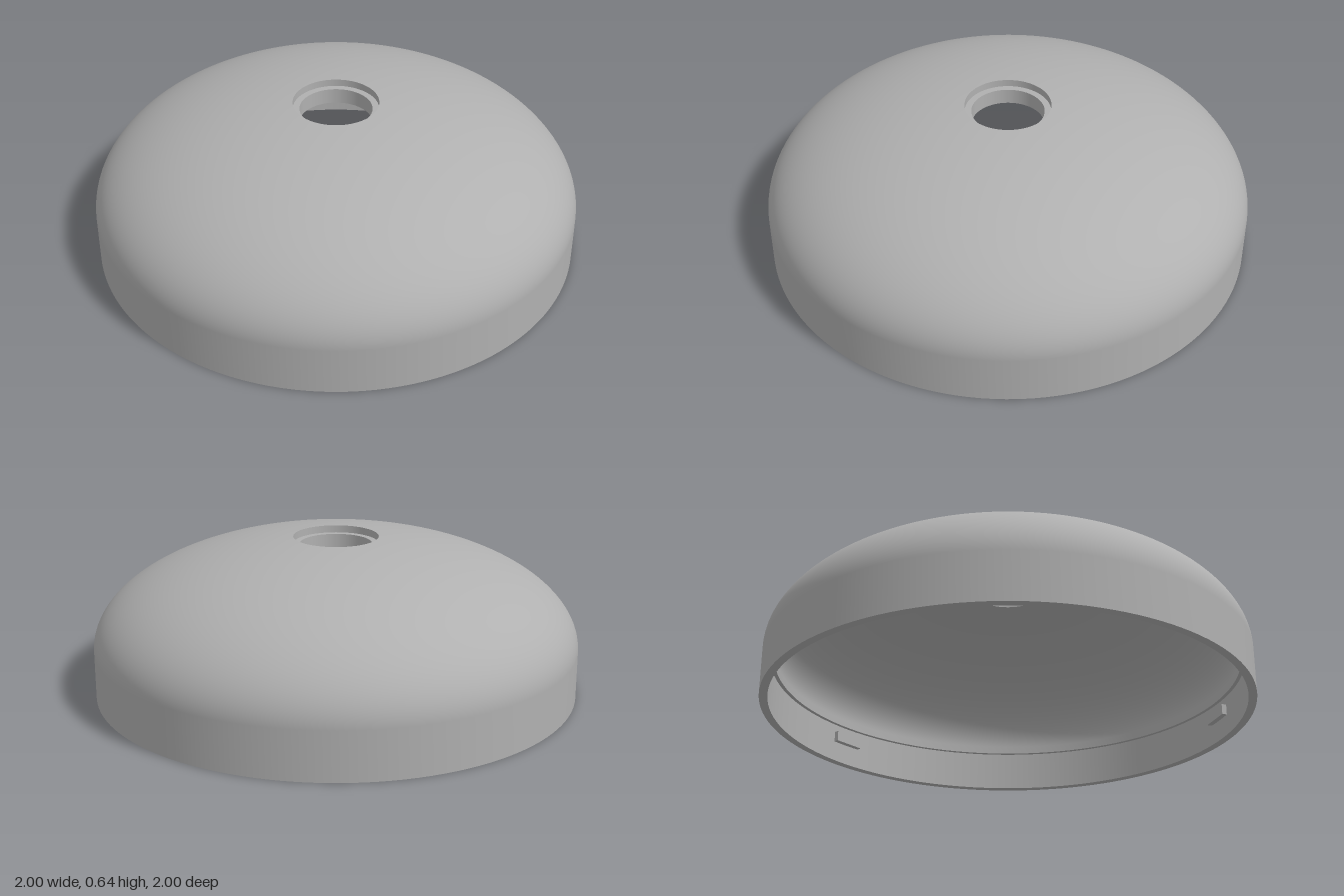
import * as THREE from 'three';

const SEGMENTS = 128;

export function createModel() {
  const group = new THREE.Group();
  group.name = 'domeShade';
  const grey = new THREE.MeshStandardMaterial({ color: 0xb0b0b0 });
  grey.name = 'grey';

  // Each smooth stretch of the profile is its own lathe, so edges between them stay sharp
  const addLathe = (name, points, segments = SEGMENTS, parent = group) => {
    const profile = points.map(([r, y]) => new THREE.Vector2(r, y));
    const mesh = new THREE.Mesh(new THREE.LatheGeometry(profile, segments), grey);
    mesh.name = name;
    parent.add(mesh);
    return mesh;
  };

  // Quarter-ellipse from the wall (radius a) up to the radius of the top opening
  const ellipse = (a, b, yBase, rEnd, steps = 40) => {
    const end = Math.acos(rEnd / a);
    return Array.from({ length: steps + 1 }, (_, i) => {
      const t = (end * i) / steps;
      return [a * Math.cos(t), yBase + b * Math.sin(t)];
    });
  };

  const openingR = 0.175, holeR = 0.148, wallR = 0.966, domeR = 0.95;
  const outer = ellipse(1, 0.447, 0.2, openingR);
  const inner = ellipse(domeR, 0.405, 0.2, openingR);
  const topY = outer.at(-1)[1];
  const bossY = inner.at(-1)[1];

  // Outer shell
  addLathe('outerShell', [[1, 0], ...outer]);

  // Stepped opening at the top
  addLathe('openingRecess', [[openingR, topY], [openingR, 0.61]]);
  addLathe('openingLedge', [[openingR, 0.61], [holeR, 0.61]]);
  addLathe('holeWall', [[holeR, 0.61], [holeR, 0.545]]);
  addLathe('bossRim', [[holeR, 0.545], [openingR, 0.545]]);
  addLathe('bossSide', [[openingR, 0.545], [openingR, bossY]]);

  // Inner shell, with a narrow step above the lower wall
  addLathe('innerShell', [...inner.reverse(), [domeR, 0.167]]);
  addLathe('innerStep', [[domeR, 0.167], [wallR, 0.167]]);
  addLathe('innerWall', [[wallR, 0.167], [wallR, 0]]);
  addLathe('bottomRim', [[wallR, 0], [1, 0]]);

  // Three retaining tabs around the inner wall
  for (let i = 0; i < 3; i++) {
    const angle = Math.PI / 2 + (i * Math.PI * 2) / 3;
    const tab = new THREE.Mesh(new THREE.BoxGeometry(0.14, 0.045, 0.03), grey);
    tab.name = 'retainingTab';
    tab.position.set(Math.sin(angle) * 0.957, 0.11, Math.cos(angle) * 0.957);
    tab.rotation.y = angle;
    group.add(tab);
  }

  // Small hollow screw post hanging beside the boss
  const post = new THREE.Group();
  post.name = 'screwPost';
  const postAngle = (300 * Math.PI) / 180;
  post.position.set(Math.sin(postAngle) * 0.23, 0.545, Math.cos(postAngle) * 0.23);
  group.add(post);
  addLathe('postCollar', [[0.042, 0.025], [0.042, 0.06]], 32, post);
  addLathe('postShoulder', [[0.03, 0.025], [0.042, 0.025]], 32, post);
  addLathe('postSide', [[0.03, 0], [0.03, 0.025]], 32, post);
  addLathe('postEnd', [[0.013, 0], [0.03, 0]], 32, post);
  addLathe('postBore', [[0.013, 0.04], [0.013, 0]], 32, post);
  addLathe('postBoreEnd', [[0, 0.04], [0.013, 0.04]], 32, post);

  return group;
}
